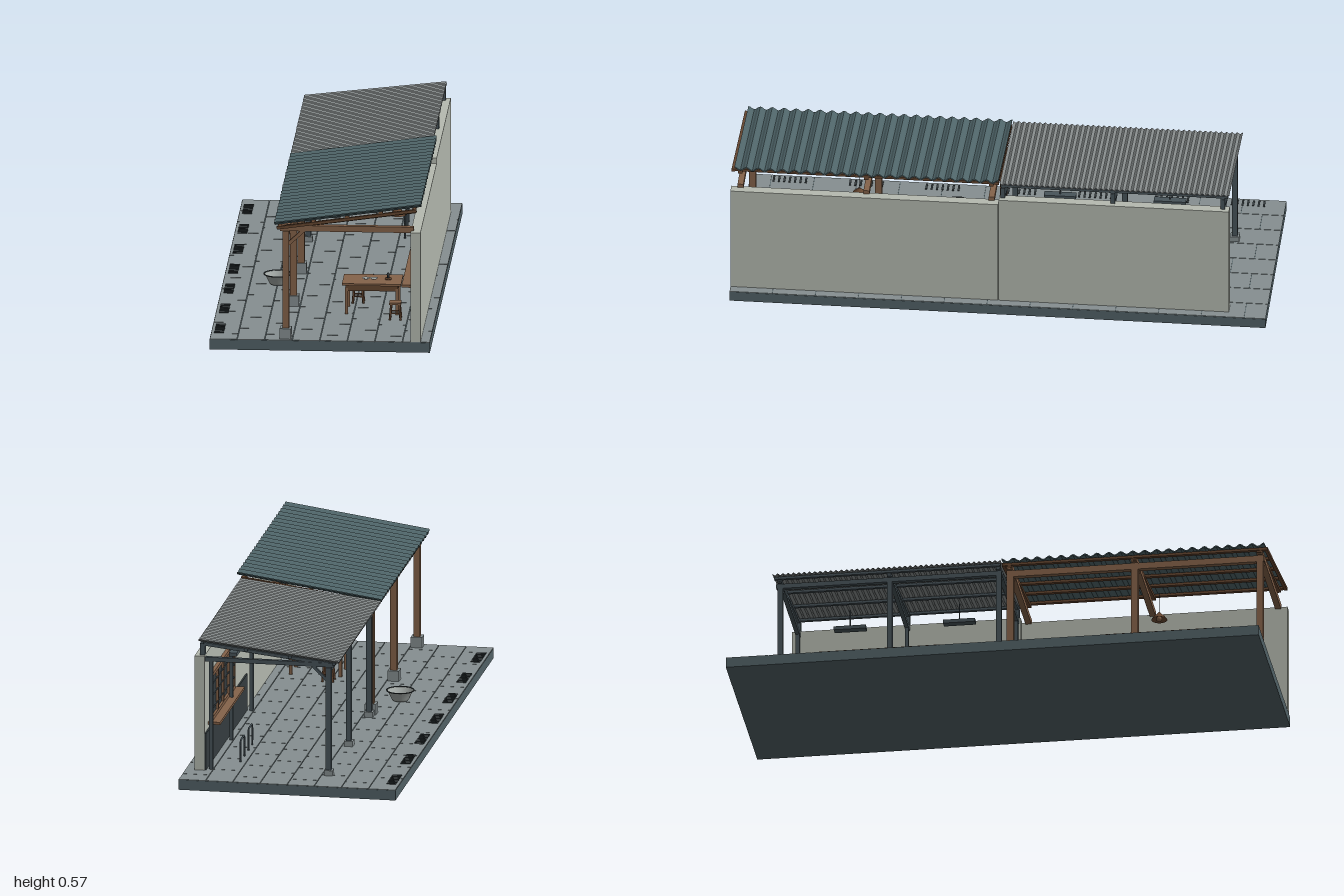
import * as THREE from 'three';
import { mergeGeometries } from 'three/addons/utils/BufferGeometryUtils.js';

const mat = (name, color, side = THREE.FrontSide) => {
  const m = new THREE.MeshStandardMaterial({ color, side });
  m.name = name;
  return m;
};

export function createModel() {
  const root = new THREE.Group();
  root.name = 'coveredWalkway';
  const M = {
    slab: mat('slate slab', 0x526267),
    paving: mat('grey paving', 0x868f91),
    wall: mat('pale plaster', 0xb5bab0),
    wood: mat('timber', 0x85634a),
    darkWood: mat('dark timber', 0x654630),
    steel: mat('dark steel', 0x48545a),
    roof: mat('slate blue roofing', 0x50666a),
    sheet: mat('grey sheet', 0x858a8a),
    dark: mat('charcoal', 0x353d40),
    metal: mat('light metal', 0xa0a6a3, THREE.DoubleSide),
  };

  const add = (name, geo, m, x = 0, y = 0, z = 0) => {
    const mesh = new THREE.Mesh(geo, m);
    mesh.name = name;
    mesh.position.set(x, y, z);
    root.add(mesh);
    return mesh;
  };
  const box = (name, m, x0, x1, y0, y1, z0, z1) =>
    add(name, new THREE.BoxGeometry(x1 - x0, y1 - y0, z1 - z0), m, (x0 + x1) / 2, (y0 + y1) / 2, (z0 + z1) / 2);
  // Sloping bar in the xy plane
  const bar = (name, m, ax, ay, bx, by, h, d, z) => {
    const b = add(name, new THREE.BoxGeometry(Math.hypot(bx - ax, by - ay), h, d), m, (ax + bx) / 2, (ay + by) / 2, z);
    b.rotation.z = Math.atan2(by - ay, bx - ax);
    return b;
  };
  const rod = (name, m, a, b, r0, r1 = r0) => {
    const A = new THREE.Vector3(...a), B = new THREE.Vector3(...b), d = B.clone().sub(A);
    const mesh = add(name, new THREE.CylinderGeometry(r1, r0, d.length(), 8), m);
    mesh.position.copy(A).add(B).multiplyScalar(0.5);
    mesh.quaternion.setFromUnitVectors(new THREE.Vector3(0, 1, 0), d.normalize());
    return mesh;
  };
  const lathe = (name, m, pts, x, y, z) =>
    add(name, new THREE.LatheGeometry(pts.map((p) => new THREE.Vector2(...p)), 24), m, x, y, z);

  // Ground slab and staggered pavers
  box('groundSlab', M.slab, -0.41, 0.41, 0, 0.038, -1, 1);
  const tiles = [];
  const rows = 8, rowW = 0.82 / rows, len = 0.16, gap = 0.0012;
  for (let r = 0; r < rows; r++) {
    for (let s = -1 - (r % 2) * len / 2; s < 0.999; s += len) {
      const z0 = Math.max(-1, s) + gap, z1 = Math.min(1, s + len) - gap;
      if (z1 - z0 < 0.01) continue;
      const g = new THREE.BoxGeometry(rowW - 2 * gap, 0.004, z1 - z0);
      g.translate(-0.41 + (r + 0.5) * rowW, 0.038, (z0 + z1) / 2);
      tiles.push(g);
    }
  }
  add('pavers', mergeGeometries(tiles), M.paving);

  // Drain grates
  for (let i = 0; i < 7; i++)
    for (let k = 0; k < 7; k++) {
      const z = -0.86 + i * 0.285 + (k - 3) * 0.02;
      box('drainSlat', M.dark, -0.398, -0.362, 0.039, 0.043, z - 0.0035, z + 0.0035);
    }

  // Long wall in two heights
  box('frontWall', M.wall, 0.338, 0.375, 0.04, 0.46, 0.001, 1);
  box('backWall', M.wall, 0.338, 0.375, 0.04, 0.48, -0.86, -0.001);
  box('wallPanelling', M.dark, 0.332, 0.338, 0.04, 0.18, -0.855, -0.01);

  // Corrugated roofs: wavy section pushed along the slope
  const corrugated = (name, m, x0, y0, x1, y1, z0, z1, waves, amp, thick) => {
    const n = waves * 6, top = [], low = [];
    for (let i = 0; i <= n; i++) {
      const u = -z1 + (z1 - z0) * i / n, v = amp * Math.cos(i / 6 * Math.PI * 2);
      top.push(new THREE.Vector2(u, v + thick / 2));
      low.push(new THREE.Vector2(u, v - thick / 2));
    }
    const geo = new THREE.ExtrudeGeometry(new THREE.Shape([...low, ...top.reverse()]), {
      depth: Math.hypot(x1 - x0, y1 - y0), bevelEnabled: false,
    });
    geo.rotateY(Math.PI / 2);
    add(name, geo, m, x0, y0, 0).rotation.z = Math.atan2(y1 - y0, x1 - x0);
  };
  corrugated('frontRoof', M.roof, -0.17, 0.481, 0.375, 0.559, 0, 0.985, 22, 0.006, 0.005);
  corrugated('backRoof', M.sheet, -0.17, 0.479, 0.36, 0.54, -0.86, -0.004, 43, 0.0035, 0.003);

  // Timber frame
  for (const z of [0.028, 0.495, 0.965]) {
    box('postPlinth', M.paving, -0.15, -0.107, 0.04, 0.08, z - 0.022, z + 0.022);
    box('timberPost', M.wood, -0.14, -0.115, 0.08, 0.453, z - 0.0125, z + 0.0125);
    box('timberTieBeam', M.wood, -0.15, 0.348, 0.453, 0.475, z - 0.011, z + 0.011);
    bar('timberBrace', M.wood, -0.12, 0.4, -0.058, 0.458, 0.013, 0.013, z);
    bar('timberRafter', M.darkWood, -0.155, 0.463, 0.358, 0.535, 0.012, 0.016, z);
  }
  for (const z of [0.006, 0.991]) bar('bargeBoard', M.darkWood, -0.16, 0.469, 0.36, 0.543, 0.011, 0.012, z);
  box('timberEavesBeam', M.wood, -0.138, -0.117, 0.428, 0.453, 0.02, 0.98);
  for (let i = 0; i < 5; i++) {
    const x = -0.15 + i * 0.125, y = 0.469 + 0.143 * (x + 0.17);
    box('timberPurlin', M.darkWood, x - 0.007, x + 0.007, y - 0.006, y + 0.004, 0.003, 0.985);
  }

  // Steel frame
  for (const z of [-0.835, -0.425, -0.015]) {
    box('steelPlinth', M.paving, -0.145, -0.112, 0.04, 0.06, z - 0.017, z + 0.017);
    box('steelPost', M.steel, -0.138, -0.118, 0.06, 0.455, z - 0.01, z + 0.01);
    box('steelTieBeam', M.steel, -0.148, 0.338, 0.456, 0.472, z - 0.008, z + 0.008);
    bar('steelRafter', M.steel, -0.15, 0.466, 0.355, 0.523, 0.012, 0.012, z);
    bar('steelBrace', M.steel, -0.12, 0.405, -0.068, 0.458, 0.01, 0.01, z);
    box('steelWallPost', M.steel, 0.309, 0.323, 0.04, 0.456, z - 0.007, z + 0.007);
    box('steelWallBracket', M.steel, 0.338, 0.358, 0.48, 0.522, z - 0.008, z + 0.008);
  }
  box('steelEavesBeam', M.steel, -0.137, -0.119, 0.438, 0.456, -0.85, -0.005);
  for (let i = 0; i < 4; i++) {
    const x = -0.15 + i * 0.166, y = 0.471 + 0.115 * (x + 0.17);
    box('steelPurlin', M.steel, x - 0.006, x + 0.006, y - 0.006, y + 0.004, -0.855, -0.006);
  }

  // Framed windows with sill shelves
  for (const [z0, z1] of [[-0.76, -0.3], [0.3, 0.78]]) {
    box('windowPane', M.dark, 0.333, 0.338, 0.21, 0.38, z0, z1);
    for (const y of [0.205, 0.373]) box('windowRail', M.wood, 0.324, 0.338, y, y + 0.013, z0, z1);
    for (let i = 0; i < 5; i++) {
      const z = z0 + 0.007 + (z1 - z0 - 0.014) * i / 4;
      box('windowMullion', M.wood, 0.324, 0.338, 0.205, 0.386, z - 0.007, z + 0.007);
    }
    for (const y of [0.25, 0.3, 0.345]) rod('windowBar', M.steel, [0.326, y, z0], [0.326, y, z1], 0.0025);
    box('windowSill', M.wood, 0.293, 0.338, 0.195, 0.205, z0 - 0.02, z1 + 0.02);
  }

  // Table
  const tz = 0.555;
  box('tableTop', M.wood, 0.06, 0.28, 0.152, 0.16, tz - 0.07, tz + 0.07);
  box('tableApron', M.darkWood, 0.072, 0.268, 0.13, 0.152, tz - 0.06, tz + 0.06);
  for (const x of [0.076, 0.264])
    for (const s of [-0.055, 0.055]) box('tableLeg', M.wood, x - 0.006, x + 0.006, 0.04, 0.14, tz + s - 0.006, tz + s + 0.006);

  // Stools with splayed legs
  for (const [x, z] of [[0.11, 0.44], [0.262, 0.67]]) {
    box('stoolSeat', M.wood, x - 0.022, x + 0.022, 0.098, 0.106, z - 0.022, z + 0.022);
    for (const i of [-1, 1]) {
      for (const j of [-1, 1])
        rod('stoolLeg', M.darkWood, [x + i * 0.02, 0.04, z + j * 0.02], [x + i * 0.015, 0.1, z + j * 0.015], 0.004);
      box('stoolRail', M.darkWood, x - 0.018, x + 0.018, 0.064, 0.069, z + i * 0.018 - 0.002, z + i * 0.018 + 0.002);
    }
  }

  // Tableware
  for (const x of [0.145, 0.175])
    lathe('plate', M.metal, [[0, 0.001], [0.01, 0.001], [0.015, 0.005]], x, 0.16, tz);
  lathe('bottleStand', M.darkWood, [[0, 0], [0.012, 0], [0.012, 0.006], [0, 0.006]], 0.228, 0.16, tz);
  lathe('bottle', M.dark, [[0, 0], [0.004, 0], [0.004, 0.01], [0.006, 0.014], [0.004, 0.02], [0, 0.02]], 0.228, 0.165, tz);

  // Pendant lamp
  rod('lampCord', M.dark, [0.262, 0.425, 0.53], [0.262, 0.512, 0.53], 0.0015);
  const shade = lathe('lampShade', M.darkWood.clone(), [[0.03, 0], [0.02, 0.014], [0.008, 0.024], [0.004, 0.03]], 0.262, 0.402, 0.53);
  shade.material = M.darkWood;
  lathe('lampShadeLining', M.darkWood, [[0.004, 0.029], [0.008, 0.023], [0.02, 0.013], [0.03, 0]], 0.262, 0.402, 0.53);
  add('lampBulb', new THREE.SphereGeometry(0.011, 14, 10), M.wood, 0.262, 0.406, 0.53);

  // Steel ceiling lights
  for (const z of [-0.63, -0.22]) {
    box('ceilingLight', M.steel, 0.247, 0.277, 0.436, 0.45, z - 0.06, z + 0.06);
    rod('ceilingLightHanger', M.steel, [0.262, 0.45, z], [0.262, 0.518, z], 0.002);
  }

  // Rack hoops
  for (const z of [-0.68, -0.52]) {
    const path = new THREE.CatmullRomCurve3(
      [[-0.04, 0.04], [-0.04, 0.11], [-0.03, 0.122], [0.03, 0.122], [0.04, 0.11], [0.04, 0.04]]
        .map(([dz, y]) => new THREE.Vector3(0.227, y, z + dz)), false, 'catmullrom', 0.2);
    add('rackHoop', new THREE.TubeGeometry(path, 30, 0.0035, 8), M.steel);
  }

  // Wash bowl
  lathe('bowl', M.metal, [[0, 0.003], [0.029, 0.003], [0.034, 0.012], [0.047, 0.04], [0.052, 0.041]], -0.204, 0.041, 0.21);
  const rim = add('bowlRim', new THREE.TorusGeometry(0.051, 0.0022, 8, 28), M.dark, -0.204, 0.083, 0.21);
  rim.rotation.x = Math.PI / 2;

  return root;
}
